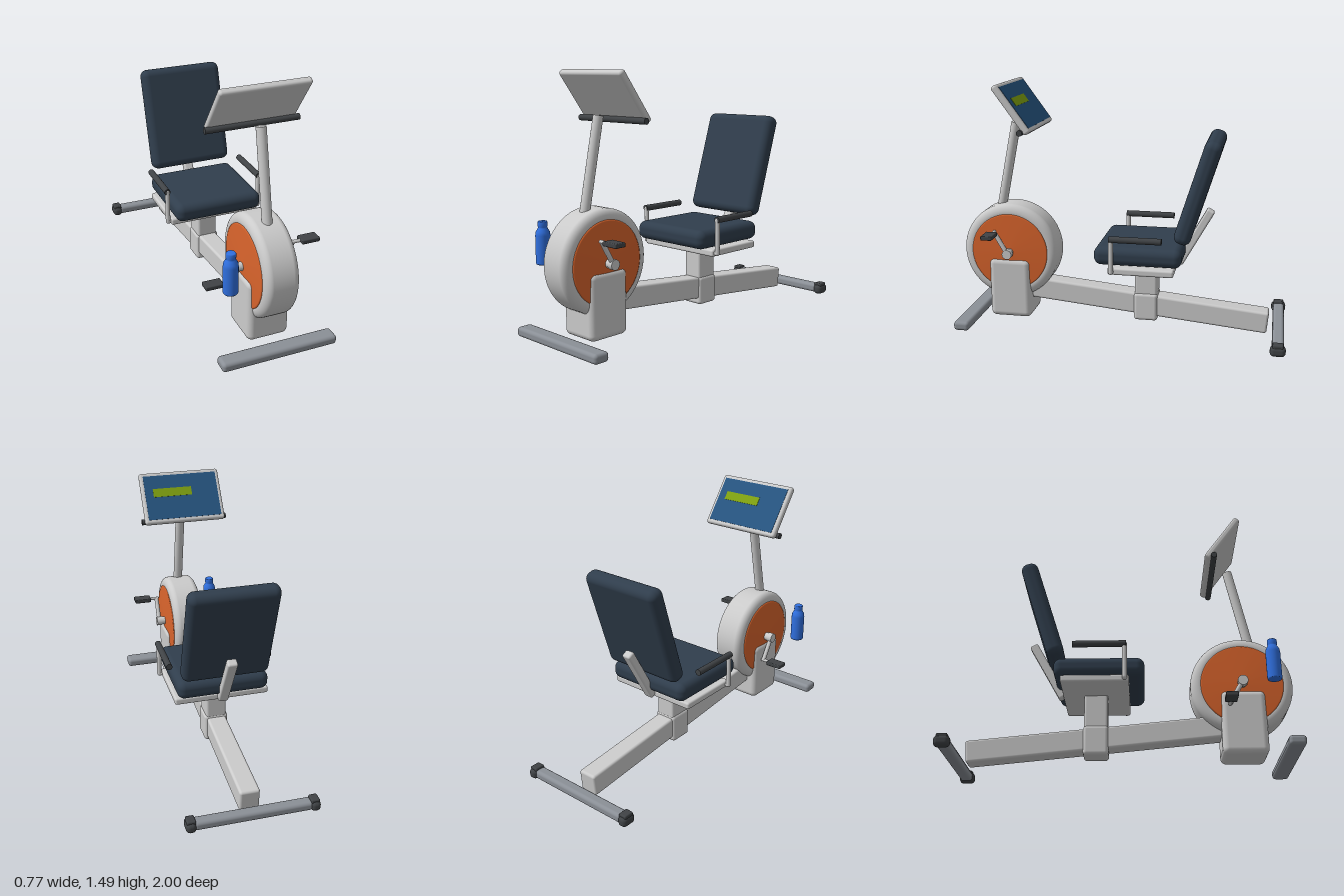
import * as THREE from 'three';
import { RoundedBoxGeometry } from 'three/addons/geometries/RoundedBoxGeometry.js';

const mat = (color) => new THREE.MeshStandardMaterial({ color });
const GREY = mat(0xcccccc), STEEL = mat(0x8b9097), DARK = mat(0x404346), NAVY = mat(0x303e4d);
const ORANGE = mat(0xd9642c), BLUE = mat(0x3070e0), SCREEN = mat(0x265480), GREEN = mat(0x7fa010);

export function createModel() {
  const model = new THREE.Group();
  model.name = 'recumbentExerciseBike';

  const add = (name, geometry, material, pos = [0, 0, 0], tilt = 0, parent = model) => {
    const mesh = new THREE.Mesh(geometry, material);
    mesh.name = name;
    mesh.position.set(...pos);
    mesh.rotation.x = tilt;
    parent.add(mesh);
    return mesh;
  };
  const box = (name, size, radius, material, pos, tilt, parent) =>
    add(name, new RoundedBoxGeometry(...size, 4, radius), material, pos, tilt, parent);

  // Round rod between two points
  const rod = (name, a, b, radius, material, parent) => {
    const from = new THREE.Vector3(...a), to = new THREE.Vector3(...b);
    const dir = to.clone().sub(from);
    const mesh = add(name, new THREE.CylinderGeometry(radius, radius, dir.length(), 24), material,
      from.add(to).multiplyScalar(0.5).toArray(), 0, parent);
    mesh.quaternion.setFromUnitVectors(new THREE.Vector3(0, 1, 0), dir.normalize());
    return mesh;
  };
  const lathe = (points, segments) =>
    new THREE.LatheGeometry(points.map(([r, y]) => new THREE.Vector2(r, y)), segments);

  // Frame: sloping beam, seat post with collar
  box('mainBeam', [0.118, 0.132, 1.54], 0.015, GREY, [0, 0.149, -0.125], -0.095);
  box('seatPost', [0.125, 0.36, 0.138], 0.015, GREY, [0, 0.25, -0.146]);
  box('seatPostCollar', [0.145, 0.175, 0.146], 0.02, GREY, [0, 0.135, -0.146]);

  // Feet
  box('frontFoot', [0.69, 0.056, 0.096], 0.02, STEEL, [0, 0.036, 0.952]);
  box('rearFoot', [0.68, 0.055, 0.07], 0.02, STEEL, [0, 0.04, -0.955]);

  // Flywheel housing, its rounded rim turned about the axle
  const hub = new THREE.Group();
  hub.name = 'flywheel';
  hub.position.set(0, 0.455, 0.703);
  model.add(hub);
  const rim = [[0, -0.098], [0.235, -0.1]];
  for (const side of [-1, 1]) {
    for (let i = 0; i <= 8; i++) {
      const a = (side < 0 ? i : 8 - i) / 8 * Math.PI / 2;
      rim.push([0.245 + 0.053 * Math.sin(a), side * (0.06 + 0.042 * Math.cos(a))]);
    }
  }
  rim.push([0.235, 0.1], [0, 0.098]);
  add('housing', lathe(rim, 64), GREY, [0, 0, 0], 0, hub).rotation.z = -Math.PI / 2;
  for (const s of [-1, 1]) {
    const cover = add(s > 0 ? 'leftCover' : 'rightCover',
      lathe([[0.24, 0.09], [0.24, 0.103], [0.232, 0.107], [0, 0.115]], 64), ORANGE, [0, 0, 0], 0, hub);
    cover.rotation.z = -s * Math.PI / 2;
  }

  // Pedestal carrying the housing
  box('driveBase', [0.25, 0.38, 0.262], 0.035, GREY, [0, 0.222, 0.704]);

  // Cranks and pedals, half a turn apart
  rod('axle', [-0.15, 0.455, 0.703], [0.15, 0.455, 0.703], 0.026, GREY);
  for (const s of [-1, 1]) {
    const side = s > 0 ? 'left' : 'right';
    const x = s * 0.152, y = 0.455 + s * 0.137, z = 0.703 + s * 0.08;
    rod(side + 'CrankHub', [s * 0.135, 0.455, 0.703], [s * 0.17, 0.455, 0.703], 0.03, GREY);
    rod(side + 'Crank', [x, 0.455, 0.703], [x, y, z], 0.014, GREY);
    rod(side + 'PedalSpindle', [s * 0.138, y, z], [s * 0.21, y, z], 0.01, GREY);
    box(side + 'Pedal', [0.108, 0.026, 0.07], 0.006, DARK, [s * 0.25, y + 0.002, z]);

    // Armrest: bent support and padded grip
    const bend = [[0.26, 0.428, 0.025], [0.3, 0.428, 0.025], [0.3, 0.63, 0.025], [0.3, 0.63, -0.02]]
      .map(([px, py, pz]) => [s * px, py, pz]);
    for (let i = 0; i < 3; i++) {
      rod(side + 'ArmSupport', bend[i], bend[i + 1], 0.014, GREY);
      if (i) add(side + 'ArmElbow', new THREE.SphereGeometry(0.014, 16, 12), GREY, bend[i]);
    }
    rod(side + 'ArmGrip', [s * 0.302, 0.63, 0.035], [s * 0.302, 0.63, -0.273], 0.019, DARK);

    // Rubber end of the rear foot
    box(side + 'RearFootCap', [0.058, 0.062, 0.09], 0.024, DARK, [s * 0.356, 0.037, -0.955]);
    box(side + 'RearFootStop', [0.05, 0.03, 0.062], 0.008, DARK, [s * 0.354, 0.064, -0.955]);
  }

  // Seat and backrest
  box('seatPan', [0.57, 0.042, 0.39], 0.012, GREY, [0, 0.428, -0.145]);
  box('seatCushion', [0.55, 0.112, 0.522], 0.045, NAVY, [0, 0.511, -0.123]);
  box('backrest', [0.52, 0.635, 0.102], 0.043, NAVY, [0, 0.902, -0.466], -0.304);
  box('backrestBracket', [0.06, 0.39, 0.05], 0.012, GREY, [0, 0.586, -0.437], -0.51);

  // Console on its mast
  rod('mast', [0, 0.7, 0.779], [0, 1.252, 0.667], 0.029, GREY);
  const desk = new THREE.Group();
  desk.name = 'console';
  desk.position.set(0, 1.358, 0.622);
  desk.rotation.x = 0.63;
  model.add(desk);
  box('consoleBody', [0.52, 0.338, 0.042], 0.016, GREY, [0, 0, 0], 0, desk);
  add('screen', new THREE.BoxGeometry(0.475, 0.29, 0.006), SCREEN, [0, 0, -0.02], 0, desk);
  add('display', new THREE.BoxGeometry(0.25, 0.055, 0.004), GREEN, [0.06, 0.03, -0.023], 0, desk);
  rod('consoleBar', [-0.275, 1.228, 0.565], [0.275, 1.228, 0.565], 0.018, DARK);

  // Water bottle
  add('waterBottle', lathe([[0, 0], [0.038, 0], [0.042, 0.006], [0.042, 0.165], [0.039, 0.185],
    [0.027, 0.205], [0.025, 0.212], [0.028, 0.215], [0.028, 0.24], [0.024, 0.245], [0, 0.245]], 32),
  BLUE, [-0.252, 0.42, 0.87]);

  return model;
}
